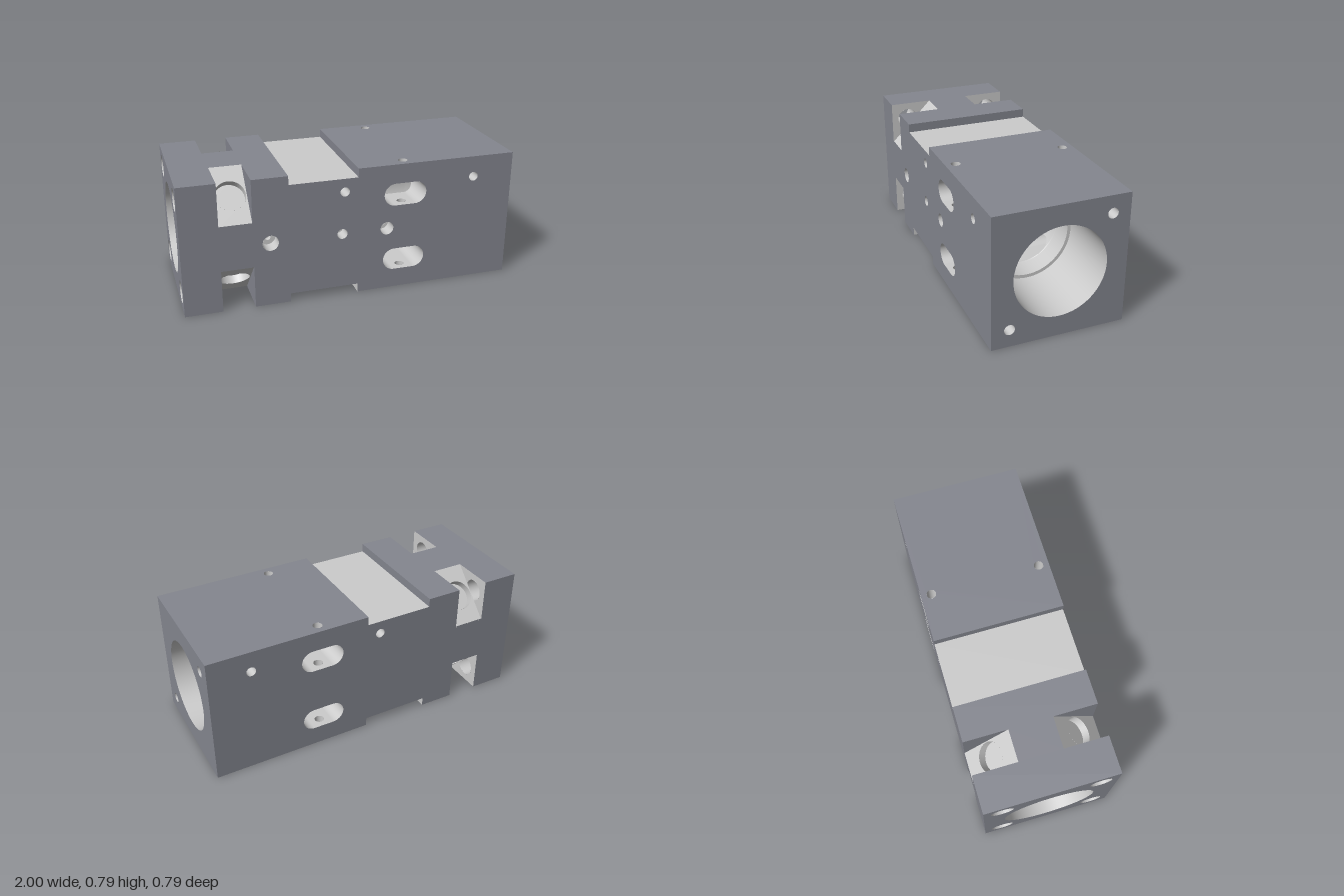
import * as THREE from 'three';
import { ParametricGeometry } from 'three/addons/geometries/ParametricGeometry.js';

const H = 0.3925; // half height and half depth of the block
const DIAG = 0.3695; // distance of the corner notch faces from the axis
const N0 = -0.78, N1 = -0.59; // notch ends along x
const W0 = -0.38, W1 = 0.03, WY = 0.34; // waist ends and half height
const SLOT = { x: 0.32, y: 0.207, r: 0.068, L: 0.062 };
const SIDE = { x: 0.75, y: 0.267, r: 0.028, L: 0 };
const DOWEL = { x: -0.05, y: 0.26, r: 0.028, L: 0 };
const NONE = { x: 0, y: 0.1, r: 0, L: 0 };

const dark = new THREE.MeshStandardMaterial({ color: 0x84868f, side: THREE.DoubleSide });
const light = new THREE.MeshStandardMaterial({ color: 0xcccccc, side: THREE.DoubleSide });

export function createModel() {
  const model = new THREE.Group();
  const body = new THREE.Group();
  body.name = 'housing';
  body.position.y = H;
  model.add(body);

  const add = (name, geo, mat, parent = body) => {
    const m = new THREE.Mesh(geo, mat);
    m.name = name;
    parent.add(m);
    return m;
  };
  const poly = (pts) => new THREE.Shape(pts.map(([x, y]) => new THREE.Vector2(x, y)));
  const rect = (x0, x1, y0, y1) => poly([[x0, y0], [x1, y0], [x1, y1], [x0, y1]]);
  const round = (s, x, y, r) => {
    s.holes.push(new THREE.Path().absarc(x, y, r, 0, Math.PI * 2, true));
    return s;
  };
  const disc = (r, inner) => {
    const s = new THREE.Shape().absarc(0, 0, r, 0, Math.PI * 2);
    return inner ? round(s, 0, 0, inner) : s;
  };
  const flat = (s) => new THREE.ShapeGeometry(s, 32);
  const patch = (name, f, nu, nv) => add(name, new ParametricGeometry(f, nu, nv), light);
  // open tube along z from z0 to z1
  const tubeZ = (r, z0, z1) =>
    new THREE.CylinderGeometry(r, r, z1 - z0, 32, 1, true).rotateX(Math.PI / 2).translate(0, 0, (z0 + z1) / 2);

  // front and back panels, with notches, waist, slots and holes
  const blind = [[-0.49, 0.047, 0.02], [-0.065, 0.031, 0], [0.21, 0.04, 0.02]];
  const edge = [[-1, H], [N0, H], [N0, 0.1375], [N1, 0.1375], [N1, H], [W0, H], [W0, WY], [W1, WY], [W1, H], [1, H]];
  for (const sz of [1, -1]) {
    const s = poly([...edge.map(([x, y]) => [x, -y]), ...edge.slice().reverse()]);
    for (const sy of [1, -1]) {
      const y = sy * SLOT.y, p = new THREE.Path();
      p.absarc(SLOT.x + SLOT.L, y, SLOT.r, -Math.PI / 2, Math.PI / 2);
      p.absarc(SLOT.x - SLOT.L, y, SLOT.r, Math.PI / 2, Math.PI * 1.5);
      s.holes.push(p);
    }
    for (const h of [SIDE, DOWEL]) round(s, h.x, h.y, h.r);
    if (sz > 0) for (const [x, r] of blind) round(s, x, 0, r);
    const g = flat(s);
    if (sz < 0) {
      // reversed triangles face the back
      const ix = g.index.array;
      for (let i = 0; i < ix.length; i += 3) [ix[i], ix[i + 1]] = [ix[i + 1], ix[i]];
      g.attributes.normal.array.forEach((v, i, a) => { a[i] = -v; });
    }
    add(sz > 0 ? 'frontPanel' : 'backPanel', g.translate(0, 0, sz * H), dark);
  }

  // stepped blind holes in the front
  for (const [x, r, inner] of blind) {
    add('blindHole', tubeZ(r, H - 0.09, H), light).position.x = x;
    add('blindHoleFloor', flat(disc(r, inner)), light).position.set(x, 0, H - 0.09);
    if (inner) {
      add('pilotHole', tubeZ(inner, H - 0.12, H - 0.09), light).position.x = x;
      add('pilotFloor', flat(disc(inner)), light).position.set(x, 0, H - 0.12);
    }
  }

  // top and bottom panels, waist floors and steps
  for (const sy of [1, -1]) {
    const lay = (name, s, y, mat) => add(name, flat(s).rotateX(-sy * Math.PI / 2).translate(0, sy * y, 0), mat);
    lay('endFlange', rect(-1, N0, -H, H), H, dark);
    lay('neck', rect(N0, N1, -0.13, 0.13), H, dark);
    lay('collar', rect(N1, W0, -H, H), H, dark);
    const s = rect(W1, 1, -H, H);
    for (const z of [0.33, -0.33]) round(s, SLOT.x, z, 0.028);
    lay('mainPanel', s, H, dark);
    lay('waistFloor', rect(W0, W1, -H, H), WY, light);
    for (const [x, dir] of [[W0, 1], [W1, -1]])
      add('waistStep', flat(rect(-H, H, WY, H)).rotateY(dir * Math.PI / 2).translate(x, 0, 0).scale(1, sy, 1), sy > 0 ? dark : light);
  }

  // end panels
  const C = 0.285, CR = 0.066;
  const right = round(rect(-H, H, -H, H), 0, 0, 0.27);
  const left = round(rect(-H, H, -H, H), 0, 0, 0.27);
  for (const s of [1, -1]) {
    round(right, s * 0.288, s * 0.288, 0.031);
    for (const t of [1, -1]) round(left, s * C, t * C, CR);
    const hole = new THREE.Group();
    hole.name = 'endHole';
    hole.position.set(1, s * 0.288, -s * 0.288);
    hole.rotation.y = Math.PI / 2;
    add('endHoleWall', tubeZ(0.031, -0.18, 0), light, hole);
    add('endHoleFloor', flat(disc(0.031)), light, hole).position.z = -0.18;
    body.add(hole);
  }
  add('rightEnd', flat(right).rotateY(Math.PI / 2).translate(1, 0, 0), dark);
  add('leftEnd', flat(left).rotateY(-Math.PI / 2).translate(-1, 0, 0), dark);

  // stepped bore, opened where the slots and the side hole break in
  const half = (h, x) => Math.sqrt(Math.max(0, h.r ** 2 - Math.max(0, Math.abs(x - h.x) - h.L) ** 2));
  const bore = [[-1, -0.92, 0.27, NONE, NONE, 1], [-0.92, 0.1, 0.185, NONE, NONE, 1],
    [0.1, 0.58, 0.25, SLOT, SLOT, 96], [0.58, 1, 0.27, SIDE, NONE, 90]];
  for (const [x0, x1, R, up, down, n] of bore)
    for (const [sy, h] of [[1, up], [-1, down]])
      for (const sz of [1, -1])
        for (const part of [0, 1])
          patch('boreWall', (u, v, t) => {
            const x = x0 + (x1 - x0) * u, w = half(h, x);
            const cut = Math.asin(Math.min(1, (h.y + (part ? w : -w)) / R));
            const a = part ? cut + (Math.PI / 2 - cut) * v : cut * v;
            t.set(x, sy * R * Math.sin(a), sz * R * Math.cos(a));
          }, n, 16);
  for (const [x, r, inner] of [[-0.92, 0.27, 0.185], [0.1, 0.25, 0.185], [0.58, 0.27, 0.25]])
    add('boreShoulder', flat(disc(r, inner)).rotateY(Math.PI / 2), light).position.x = x;

  // cross tunnels: round walls run from the panel in to the bore
  const reach = (y, R) => Math.sqrt(Math.max(0, R * R - y * y));
  const arcWall = (name, cx, cy, r, a0, a1, sy, sz, R) =>
    patch(name, (u, v, t) => {
      const a = a0 + (a1 - a0) * u, y = cy + r * Math.sin(a), z0 = reach(y, R);
      t.set(cx + r * Math.cos(a), sy * y, sz * (z0 + (H - z0) * v));
    }, 24, 1);
  for (const sz of [1, -1]) {
    arcWall('sideHole', SIDE.x, SIDE.y, SIDE.r, 0, Math.PI * 2, 1, sz, 0.27);
    arcWall('dowelHole', DOWEL.x, DOWEL.y, DOWEL.r, 0, Math.PI * 2, 1, sz, 0.185);
    for (const sy of [1, -1]) {
      const { x, y, r, L } = SLOT;
      arcWall('slotEnd', x + L, y, r, -Math.PI / 2, Math.PI / 2, sy, sz, 0.25);
      arcWall('slotEnd', x - L, y, r, Math.PI / 2, Math.PI * 1.5, sy, sz, 0.25);
      for (const e of [y - r, y + r]) {
        const s = round(rect(x - L, x + L, reach(e, 0.25), H), x, 0.33, 0.028);
        add('slotFlat', flat(s).rotateX(Math.PI / 2).translate(0, sy * e, 0).scale(1, 1, sz), light);
      }
      // vertical screw holes, interrupted by the slots
      for (const [y0, y1] of [[0, y - r], [y + r, H]])
        add('screwHole', new THREE.CylinderGeometry(0.028, 0.028, y1 - y0, 24, 1, true), light)
          .position.set(x, sy * (y0 + y1) / 2, sz * 0.33);
    }
  }

  // four corner notches with bolt holes and round pockets
  const phi = Math.acos((DIAG - C * Math.SQRT2) / CR), q = Math.PI / 4;
  const tri = [[0.13, H], [H, H], [H, 0.13]];
  for (const sy of [1, -1]) for (const sz of [1, -1]) {
    const notch = new THREE.Group();
    notch.name = 'cornerNotch';
    notch.scale.set(1, sy, sz);
    body.add(notch);
    const wall = poly(tri);
    wall.absarc(C, C, CR, q - phi, q + phi, false);
    const stop = new THREE.Shape().absarc(C, C, CR, q + phi, q - phi + Math.PI * 2, false);
    for (const [name, s, x] of [['notchBoltWall', wall, N0], ['boltHoleStop', stop, N0], ['notchWall', poly(tri), N1]])
      add(name, flat(s).rotateY(-Math.PI / 2).translate(x, 0, 0), x === N0 ? light : dark, notch);
    add('boltHole', tubeZ(CR, -1, N0).rotateY(Math.PI / 2).translate(0, C, C), light, notch);
    // sloped face and its pocket, tilted 45 degrees
    const slope = new THREE.Group();
    slope.name = 'notchSlope';
    slope.rotation.x = -Math.PI / 4;
    notch.add(slope);
    const mid = (N0 + N1) / 2, len = (H - 0.13) / Math.SQRT2;
    add('slopeFace', flat(round(rect(N0, N1, -len, len), mid, 0, 0.09)), light, slope).position.z = DIAG;
    add('pocketWall', tubeZ(0.09, DIAG - 0.05, DIAG), light, slope).position.x = mid;
    add('pocketFloor', flat(disc(0.09)), light, slope).position.set(mid, 0, DIAG - 0.05);
  }
  return model;
}
